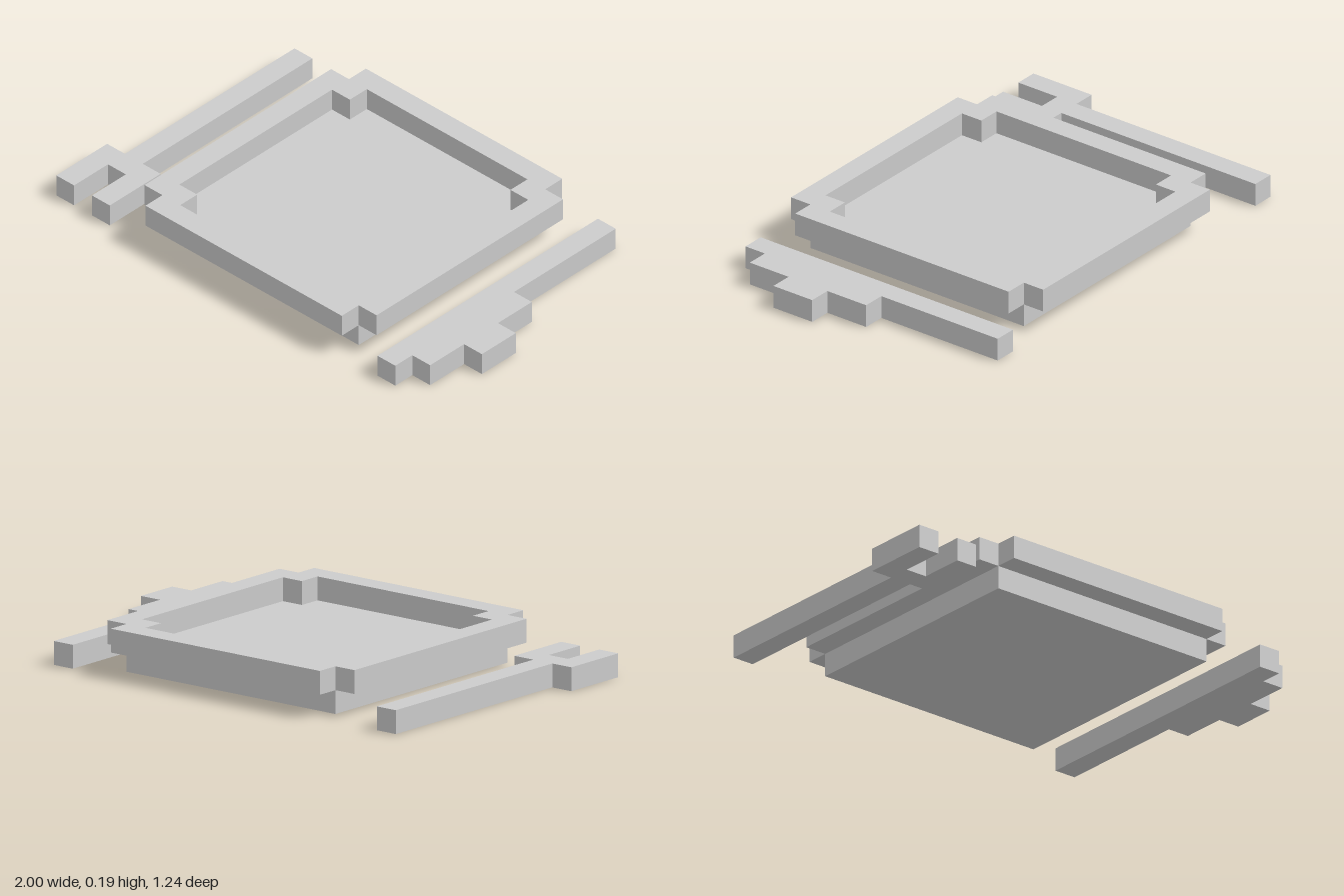
import * as THREE from 'three';

const U = 2 / 21; // one block of the grid
const material = new THREE.MeshStandardMaterial({ color: 0xcccccc, flatShading: true });

// Square outline of the given half size with one block notched out of each corner
function notchedSquare(h) {
  const k = h - 1;
  return [
    [-k, -h], [k, -h], [k, -k], [h, -k], [h, k], [k, k],
    [k, h], [-k, h], [-k, k], [-h, k], [-h, -k], [-k, -k],
  ];
}

const toPoints = (outline) => outline.map(([x, z]) => new THREE.Vector2(x * U, z * U));

// One-block-thick slab from an (x, z) outline in blocks, standing on the given layer
function slab(name, outline, layer = 0, hole = null) {
  const shape = new THREE.Shape(toPoints(outline));
  if (hole) shape.holes.push(new THREE.Path(toPoints(hole)));
  const geometry = new THREE.ExtrudeGeometry(shape, { depth: U, bevelEnabled: false });
  geometry.rotateX(Math.PI / 2);
  geometry.translate(0, (layer + 1) * U, 0);
  const mesh = new THREE.Mesh(geometry, material);
  mesh.name = name;
  return mesh;
}

export function createModel() {
  const model = new THREE.Group();
  model.name = 'placeSetting';

  // Plate: square base with a raised, notched rim
  const plate = new THREE.Group();
  plate.name = 'plate';
  plate.add(
    slab('plateBase', [[-5.5, -5.5], [5.5, -5.5], [5.5, 5.5], [-5.5, 5.5]]),
    slab('plateRim', notchedSquare(6.5), 1, notchedSquare(5.5)),
  );

  // Fork: handle, crossbar and two tines
  const fork = slab('fork', [
    [-9.5, -6.5], [-8.5, -6.5], [-8.5, 3.5], [-7.5, 3.5], [-7.5, 6.5], [-8.5, 6.5],
    [-8.5, 4.5], [-9.5, 4.5], [-9.5, 6.5], [-10.5, 6.5], [-10.5, 3.5], [-9.5, 3.5],
  ]);

  // Knife: straight back with a stepped blade
  const knife = slab('knife', [
    [7.5, -6.5], [8.5, -6.5], [8.5, -0.5], [9.5, -0.5], [9.5, 1.5], [10.5, 1.5],
    [10.5, 3.5], [9.5, 3.5], [9.5, 5.5], [8.5, 5.5], [8.5, 6.5], [7.5, 6.5],
  ]);

  model.add(plate, fork, knife);
  return model;
}
